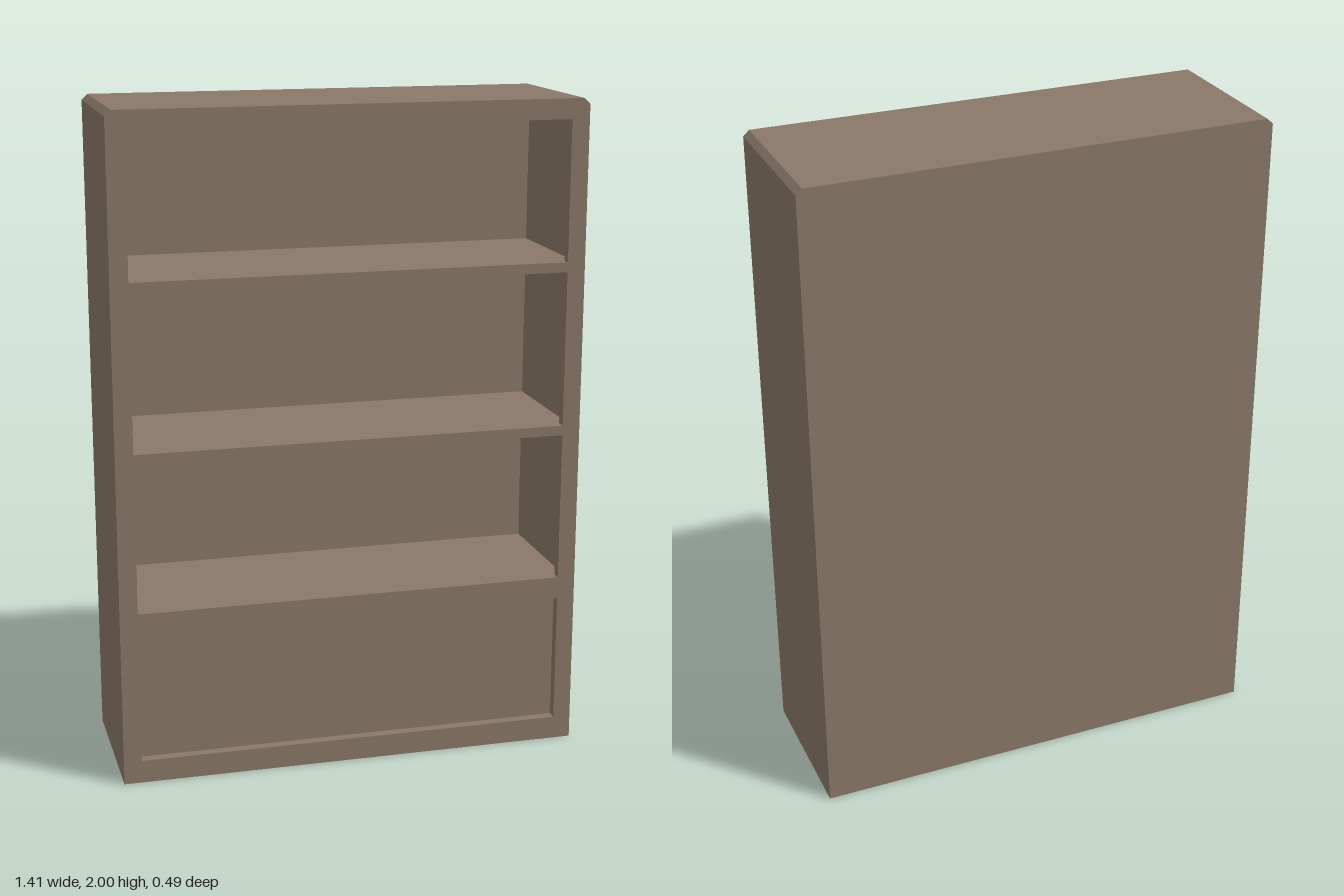
import * as THREE from 'three';

const W = 0.707, H = 2, D = 0.243;   // half width, height, half depth
const LIP = 0.03;                    // thickness of the face frame
const BACK = 0.05;                   // thickness of the back panel
const OPEN = 0.653;                  // half width of the openings
const INNER = 0.68;                  // half width inside the carcass

// Case outline with small chamfers on the top corners
function outline() {
  const s = new THREE.Shape();
  s.moveTo(-W, 0);
  s.lineTo(W, 0);
  s.lineTo(W, H - 0.017);
  s.lineTo(W - 0.018, H);
  s.lineTo(-W + 0.018, H);
  s.lineTo(-W, H - 0.017);
  s.closePath();
  return s;
}

// Rectangular hole
function opening(halfWidth, y0, y1) {
  const p = new THREE.Path();
  p.moveTo(-halfWidth, y0);
  p.lineTo(-halfWidth, y1);
  p.lineTo(halfWidth, y1);
  p.lineTo(halfWidth, y0);
  p.closePath();
  return p;
}

export function createModel() {
  const model = new THREE.Group();
  model.name = 'bookcase';
  const wood = new THREE.MeshStandardMaterial({ color: 0x8a7868 });
  wood.name = 'brown wood';

  const add = (name, geometry, x, y, z) => {
    const mesh = new THREE.Mesh(geometry, wood);
    mesh.name = name;
    mesh.position.set(x, y, z);
    model.add(mesh);
  };
  const slab = (name, holes, z0, z1) => {
    const shape = outline();
    shape.holes.push(...holes);
    add(name, new THREE.ExtrudeGeometry(shape, { depth: z1 - z0, bevelEnabled: false }), 0, 0, z0);
  };

  const frameZ = D - LIP, backZ = -D + BACK;

  // Face frame with three shelf openings and one panel opening
  const bays = [[0.07, 0.467], [0.535, 0.99], [1.02, 1.49], [1.52, 1.94]];
  slab('faceFrame', bays.map(([y0, y1]) => opening(OPEN, y0, y1)), frameZ, D);

  // Hollow case and its back
  slab('caseWalls', [opening(INNER, 0.03, 1.97)], backZ, frameZ);
  slab('backPanel', [], -D, backZ);

  // Shelves, level with the bottom of each open bay
  const shelfDepth = frameZ - backZ;
  for (const [y0] of bays.slice(1)) {
    add('shelf', new THREE.BoxGeometry(INNER * 2, 0.03, shelfDepth), 0, y0 - 0.015, (frameZ + backZ) / 2);
  }

  // Closed lower panel set behind the frame
  add('lowerPanel', new THREE.BoxGeometry(INNER * 2, 0.475, 0.03), 0, 0.2675, frameZ - 0.015);

  return model;
}
